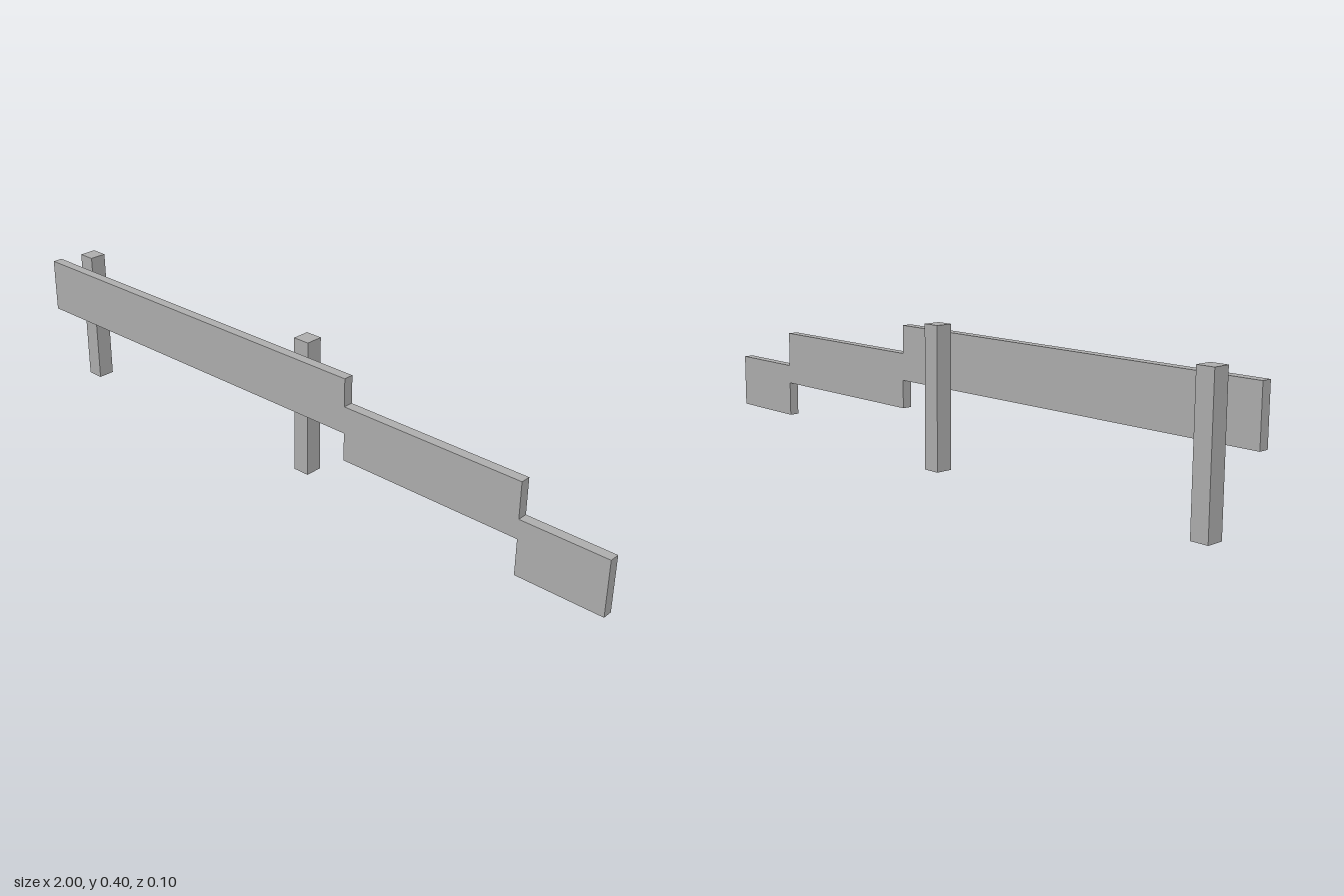
import * as THREE from 'three';

export function createModel() {
  const model = new THREE.Group();
  model.name = 'steppedFence';
  const grey = new THREE.MeshStandardMaterial({ name: 'plainGrey', color: 0xb0b0b0 });

  // Box given by its extents along each axis
  function addBox(name, [x0, x1], [y0, y1], [z0, z1]) {
    const mesh = new THREE.Mesh(new THREE.BoxGeometry(x1 - x0, y1 - y0, z1 - z0), grey);
    mesh.position.set((x0 + x1) / 2, (y0 + y1) / 2, (z0 + z1) / 2);
    mesh.name = name;
    model.add(mesh);
  }

  // Square posts behind the boards
  const postWidth = 0.05;
  const posts = [['rightPost', -0.9], ['middlePost', 0]];
  for (const [name, x] of posts) {
    addBox(name, [x - postWidth / 2, x + postWidth / 2], [0, 0.4], [-0.05, 0]);
  }

  // Boards of equal height, stepping down towards the left end
  const boardHeight = 0.157;
  const boards = [
    ['upperBoard', -1, 0.2, 0.372],
    ['middleBoard', 0.2, 0.75, 0.292],
    ['lowerBoard', 0.75, 1, 0.19],
  ];
  for (const [name, x0, x1, top] of boards) {
    addBox(name, [x0, x1], [top - boardHeight, top], [0.021, 0.05]);
  }

  return model;
}
